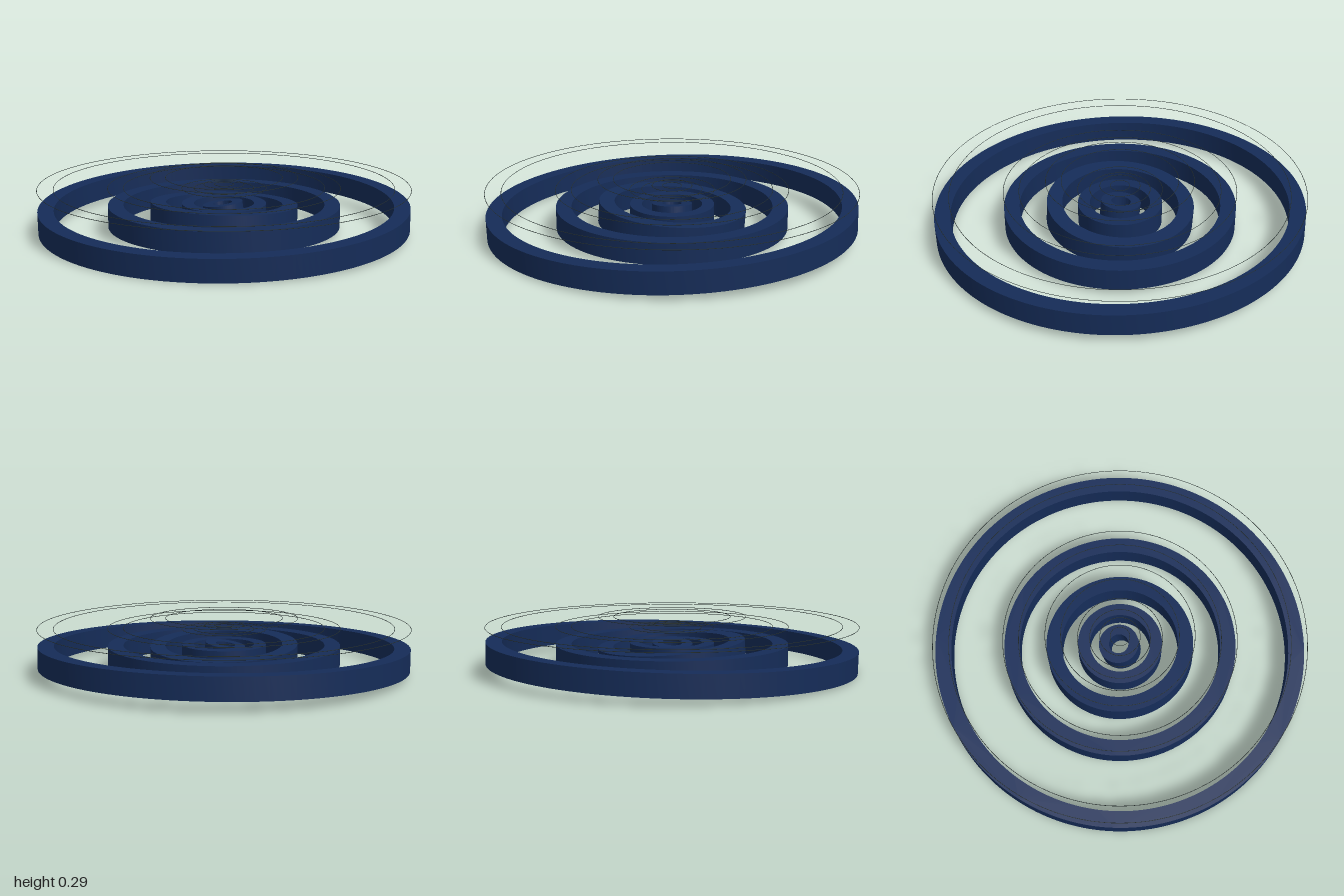
import * as THREE from 'three';
import { toCreasedNormals } from 'three/addons/utils/BufferGeometryUtils.js';

const HEIGHT = 0.117;
const CENTRE_Y = 0.089;

// Square-edged ring lying flat, centred on its own origin
function ringGeometry(outer, inner) {
  const shape = new THREE.Shape().absarc(0, 0, outer, 0, Math.PI * 2, false);
  shape.holes.push(new THREE.Path().absarc(0, 0, inner, 0, Math.PI * 2, true));
  const geometry = new THREE.ExtrudeGeometry(shape, {
    depth: HEIGHT, bevelEnabled: false, curveSegments: 96,
  });
  geometry.translate(0, 0, -HEIGHT / 2);
  geometry.rotateX(-Math.PI / 2);
  return toCreasedNormals(geometry, 0.5);
}

// Hair-thin wire circle lying flat
function wireGeometry(radius) {
  const geometry = new THREE.TorusGeometry(radius, 0.0015, 4, 128);
  geometry.rotateX(Math.PI / 2);
  return geometry;
}

export function createModel() {
  const group = new THREE.Group();
  const navy = new THREE.MeshStandardMaterial({ color: 0x152c58 });
  const dark = new THREE.MeshStandardMaterial({ color: 0x26302f });

  // Concentric rings, each with its own tilt and its floating outline height
  const rings = [
    { name: 'outerRing', outer: 0.998, inner: 0.912, tiltX: 0.028, tiltZ: 0, wireY: 0.25 },
    { name: 'secondRing', outer: 0.626, inner: 0.542, tiltX: 0, tiltZ: 0, wireY: 0.24 },
    { name: 'thirdRing', outer: 0.398, inner: 0.315, tiltX: -0.069, tiltZ: 0, wireY: 0.29 },
    { name: 'fourthRing', outer: 0.228, inner: 0.163, tiltX: 0, tiltZ: 0, wireY: 0.23 },
    { name: 'innerRing', outer: 0.108, inner: 0.053, tiltX: 0, tiltZ: 0.14, wireY: 0.25 },
  ];

  for (const r of rings) {
    const ring = new THREE.Mesh(ringGeometry(r.outer, r.inner), navy);
    ring.name = r.name;
    ring.position.y = CENTRE_Y;
    ring.rotation.set(r.tiltX, 0, r.tiltZ);
    group.add(ring);

    // Outline of both rims hovering above the ring
    const outline = new THREE.Group();
    outline.name = r.name + 'Outline';
    for (const radius of [r.outer, r.inner]) {
      const wire = new THREE.Mesh(wireGeometry(radius), dark);
      wire.name = radius === r.outer ? 'outerWire' : 'innerWire';
      outline.add(wire);
    }
    outline.position.y = r.wireY;
    group.add(outline);
  }
  return group;
}
